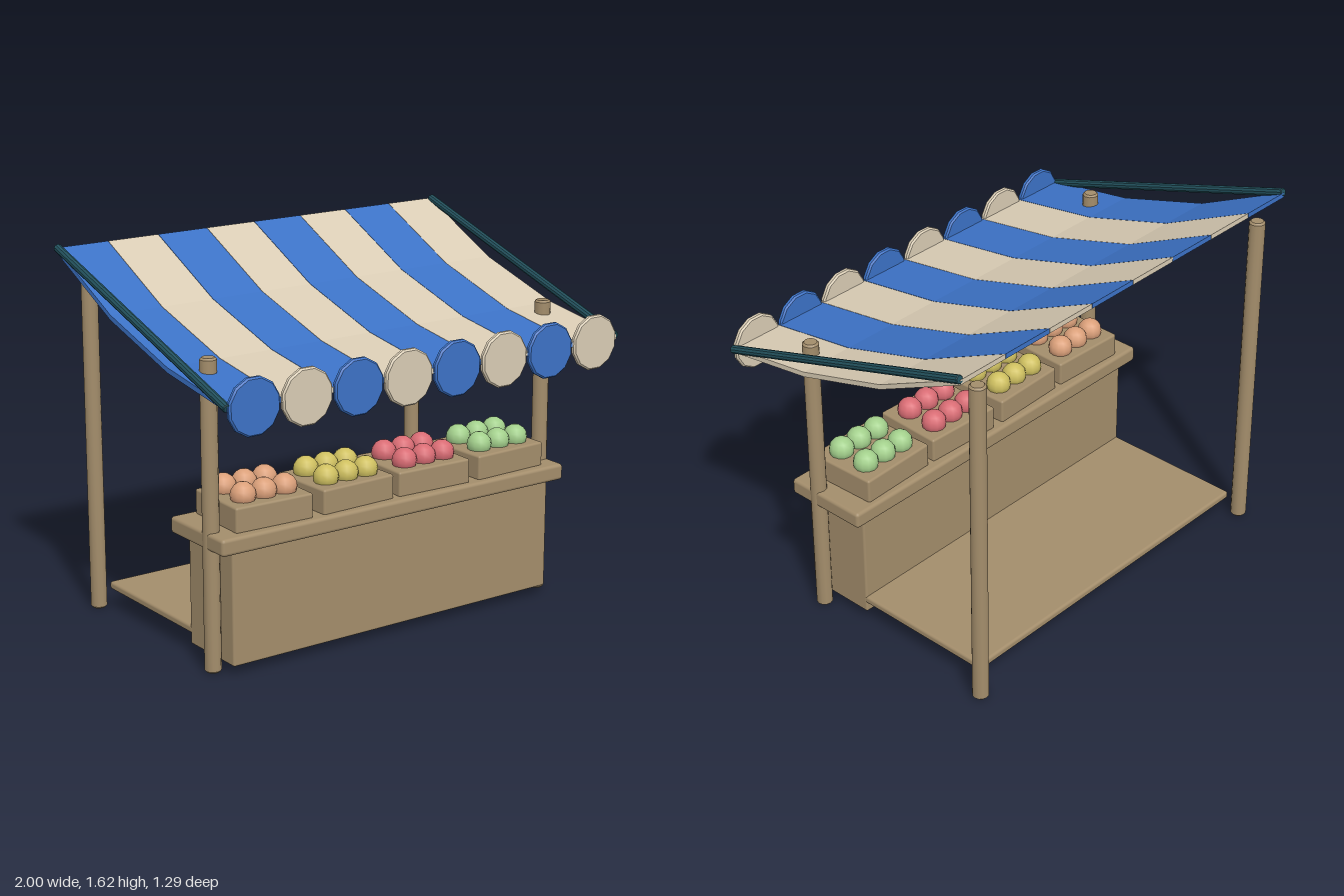
import * as THREE from 'three';
import { toCreasedNormals } from 'three/addons/utils/BufferGeometryUtils.js';
import { RoundedBoxGeometry } from 'three/addons/geometries/RoundedBoxGeometry.js';

function paint(name, color) {
  const m = new THREE.MeshStandardMaterial({ color });
  m.name = name;
  return m;
}

export function createModel() {
  const wood = paint('wood', 0xa38d6b);
  const blue = paint('blue cloth', 0x3c72c6);
  const cream = paint('cream cloth', 0xd9ccb4);
  const teal = paint('teal rail', 0x22505c);
  const orange = paint('orange fruit', 0xdba07a);
  const yellow = paint('yellow fruit', 0xcfc060);
  const red = paint('red fruit', 0xd96c74);
  const green = paint('green fruit', 0xa3d08c);

  const model = new THREE.Group();
  model.name = 'marketStall';

  function add(parent, name, geometry, material, x = 0, y = 0, z = 0) {
    const mesh = new THREE.Mesh(geometry, material);
    mesh.name = name;
    mesh.position.set(x, y, z);
    parent.add(mesh);
    return mesh;
  }

  // Upright cylinder with bevelled rims, centred on its middle
  function bevelledCylinder(r, h, sides, bevel, start = 0) {
    const t = h / 2;
    const profile = [
      [0, -t], [r - bevel, -t], [r, -t + bevel], [r, t - bevel], [r - bevel, t], [0, t],
    ].map(([x, y]) => new THREE.Vector2(x, y));
    return toCreasedNormals(new THREE.LatheGeometry(profile, sides, start), 0.6);
  }

  // Rounded box given by its limits on each axis
  function block(name, x0, x1, y0, y1, z0, z1, bevel) {
    const geometry = new RoundedBoxGeometry(x1 - x0, y1 - y0, z1 - z0, 2, bevel);
    return add(model, name, geometry, wood, (x0 + x1) / 2, (y0 + y1) / 2, (z0 + z1) / 2);
  }

  // Counter and floor
  block('counterBody', -0.82, 0.82, 0.04, 0.54, 0.085, 0.41, 0.01);
  block('counterTop', -0.885, 0.885, 0.525, 0.597, 0.05, 0.44, 0.015);
  block('floorBoard', -0.82, 0.82, 0.085, 0.12, -0.57, 0.1, 0.012);

  // Four posts and two sloping awning rails
  const railRise = 0.405, railRun = 1.275;
  for (const side of [-1, 1]) {
    add(model, 'frontPost', bevelledCylinder(0.035, 1.31, 12, 0.008), wood, side * 0.855, 0.655, 0.31);
    add(model, 'backPost', bevelledCylinder(0.035, 1.505, 12, 0.008), wood, side * 0.855, 0.7525, -0.605);
    const length = Math.hypot(railRise, railRun);
    const rail = add(model, 'awningRail', bevelledCylinder(0.018, length, 10, 0.003), teal, side * 0.982, 1.398, 0);
    rail.rotation.x = -Math.atan2(railRun, railRise);
  }

  // Sagging awning strips, each with a round flap on the front edge
  const sag = [[-0.64, 1.588], [-0.215, 1.384], [0.215, 1.256], [0.64, 1.192]];
  const stripWidth = 0.246;
  const strip = new THREE.BoxGeometry(0.244, 0.022, 1.28, 1, 1, 3);
  const p = strip.attributes.position;
  for (let i = 0; i < p.count; i++) {
    const row = Math.round((p.getZ(i) / 1.28 + 0.5) * 3);
    p.setZ(i, sag[row][0]);
    p.setY(i, p.getY(i) + sag[row][1]);
  }
  const stripGeometry = toCreasedNormals(strip, 0.1);
  const flapGeometry = bevelledCylinder(0.12, 0.026, 12, 0.007, Math.PI / 12).rotateX(Math.PI / 2);
  for (let i = 0; i < 8; i++) {
    const x = (i - 3.5) * stripWidth;
    const cloth = i % 2 ? cream : blue;
    add(model, 'awningStrip', stripGeometry, cloth, x);
    add(model, 'awningFlap', flapGeometry, cloth, x, 1.185, 0.634);
  }

  // Crates, turned slightly, each with two rows of three fruit
  const crateGeometry = new RoundedBoxGeometry(0.365, 0.11, 0.32, 2, 0.01);
  const fruitGeometry = new THREE.SphereGeometry(0.054, 12, 8);
  [[-0.603, orange, -0.035], [-0.196, yellow, 0.035], [0.208, red, -0.035], [0.612, green, 0.035]].forEach(([x, fruit, turn]) => {
    const crate = new THREE.Group();
    crate.name = 'fruitCrate';
    crate.position.set(x, 0, 0.243);
    model.add(crate);
    add(crate, 'crate', crateGeometry, wood, 0, 0.646, 0).rotation.y = turn;
    for (const dz of [-0.073, 0.07])
      for (const dx of [-0.1, 0, 0.1])
        add(crate, 'fruit', fruitGeometry, fruit, dx, 0.722, dz);
  });

  return model;
}
